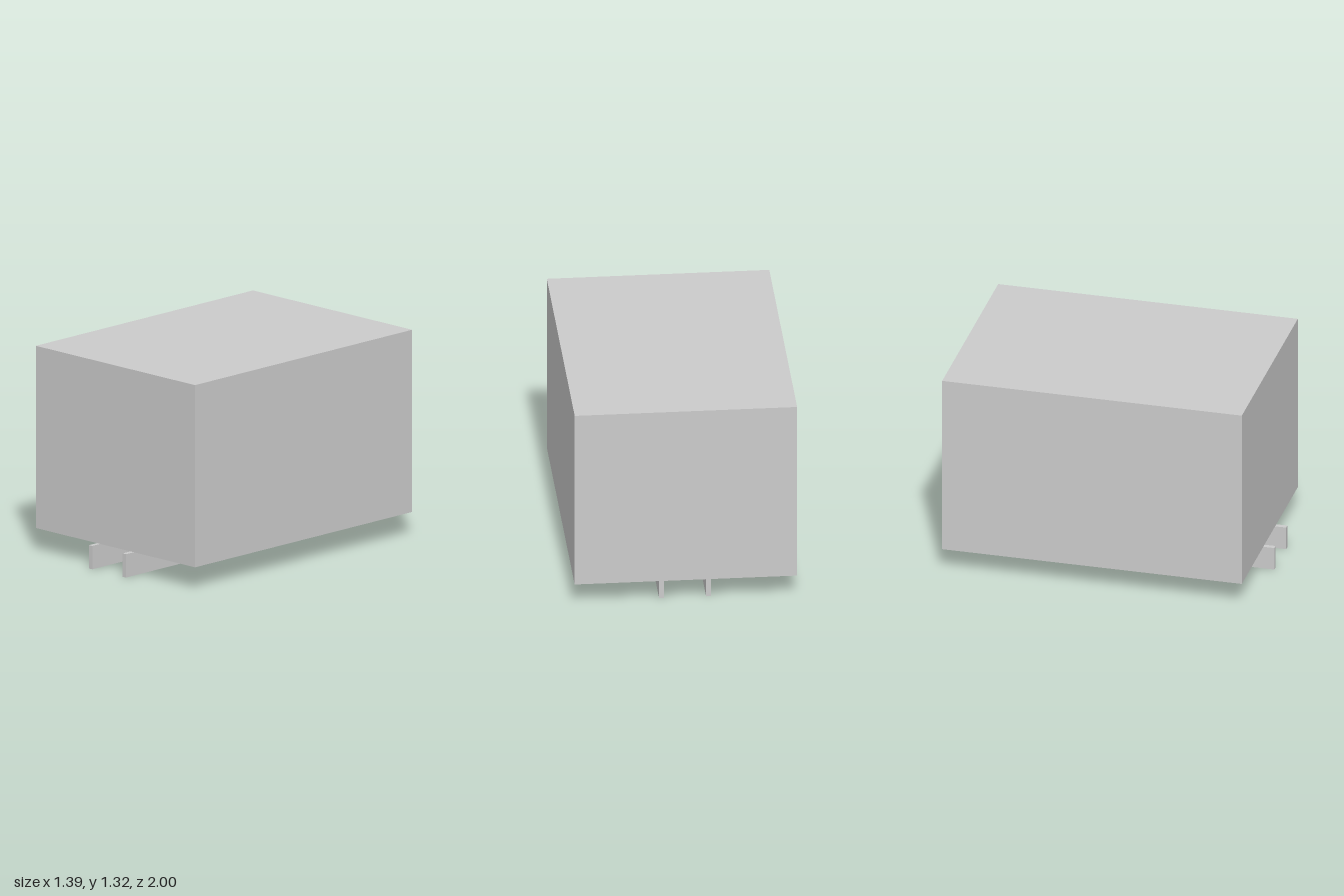
import * as THREE from 'three';

export function createModel() {
  const model = new THREE.Group();
  const material = new THREE.MeshStandardMaterial({ color: 0xcccccc });

  // Box given by its lower and upper corners
  function addBox(name, min, max) {
    const size = max.map((v, i) => v - min[i]);
    const mesh = new THREE.Mesh(new THREE.BoxGeometry(...size), material);
    mesh.position.set(...max.map((v, i) => (v + min[i]) / 2));
    mesh.name = name;
    model.add(mesh);
  }

  const railHeight = 0.15;

  // Main block, set back from the front ends of the rails
  addBox('body', [-0.696, railHeight, -1], [0.696, 1.323, 0.929]);

  // Two thin rails underneath
  for (const [name, x] of [['leftRail', 0.147], ['rightRail', -0.147]]) {
    addBox(name, [x - 0.015, 0, -0.937], [x + 0.015, railHeight, 1]);
  }

  return model;
}
